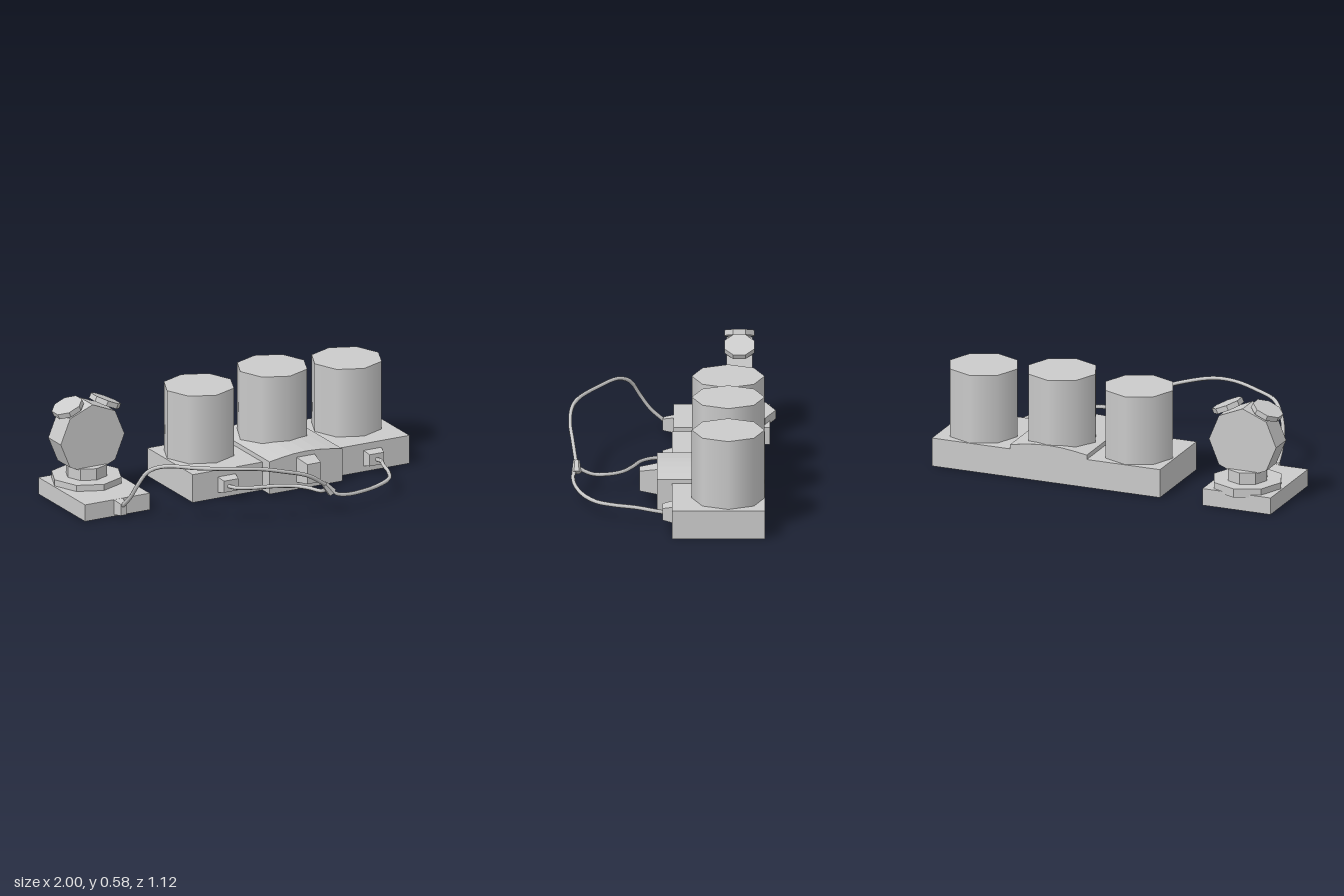
import * as THREE from 'three';

const smooth = new THREE.MeshStandardMaterial({ color: 0xcccccc });
const flat = new THREE.MeshStandardMaterial({ color: 0xcccccc, flatShading: true });
const sheet = new THREE.MeshStandardMaterial({ color: 0xcccccc, flatShading: true, side: THREE.DoubleSide });

function add(parent, name, geometry, material) {
  const mesh = new THREE.Mesh(geometry, material);
  mesh.name = name;
  parent.add(mesh);
  return mesh;
}

// Open skin between two [x, y] outlines, one at each depth
function skin(outlineA, zA, outlineB, zB) {
  const pos = [];
  for (let i = 0; i < outlineA.length - 1; i++) {
    const a = [...outlineA[i], zA], b = [...outlineA[i + 1], zA];
    const c = [...outlineB[i + 1], zB], d = [...outlineB[i], zB];
    pos.push(...a, ...b, ...c, ...a, ...c, ...d);
  }
  const g = new THREE.BufferGeometry();
  g.setAttribute('position', new THREE.Float32BufferAttribute(pos, 3));
  g.computeVertexNormals();
  return g;
}

// Upright wall at depth z, optionally with an opening
function wall(parent, name, outline, z, hole) {
  const toPoints = (o) => o.map(([x, y]) => new THREE.Vector2(x, y));
  const shape = new THREE.Shape(toPoints(outline));
  if (hole) shape.holes.push(new THREE.Path(toPoints(hole)));
  add(parent, name, new THREE.ShapeGeometry(shape), sheet).position.z = z;
}

const rect = (x, y, w, h) => [
  [x - w / 2, y - h / 2], [x + w / 2, y - h / 2], [x + w / 2, y + h / 2], [x - w / 2, y + h / 2],
];

// Hollow tapered socket; returns the opening it needs in the wall behind it
function socket(parent, x, y, w, h, z, depth, taper) {
  const back = rect(x, y, w, h);
  const front = rect(x, y, w - taper, h - taper);
  const close = (r) => [...r, r[0]];
  add(parent, 'socketSides', skin(close(back), z, close(front), z + depth), sheet);
  wall(parent, 'socketFace', front, z + depth);
  return back;
}

function drum(parent, name, x, y0, y1, z, r, material) {
  const m = add(parent, name, new THREE.CylinderGeometry(r, r, y1 - y0, 8), material);
  m.position.set(x, (y0 + y1) / 2, z);
  return m;
}

function cable(parent, name, points) {
  const curve = new THREE.CatmullRomCurve3(points.map((p) => new THREE.Vector3(...p)));
  add(parent, name, new THREE.TubeGeometry(curve, 40, 0.011, 6), smooth);
}

function createTimer() {
  const timer = new THREE.Group();
  timer.name = 'timer';
  const x = -0.795, z = -0.365;

  // Bottomless base
  const outline = [[-1, 0], [-1, 0.095], [-0.6, 0.095], [-0.6, 0]];
  add(timer, 'base', skin(outline, -0.53, outline, -0.01), sheet);
  wall(timer, 'baseBack', outline, -0.53);
  const hole = socket(timer, x, 0.052, 0.055, 0.085, -0.01, 0.06, 0.02);
  wall(timer, 'baseFront', outline, -0.01, hole);

  // Foot, neck and upright dial body
  drum(timer, 'foot', x, 0.08, 0.13, z, 0.197, flat);
  drum(timer, 'neck', x, 0.12, 0.195, z, 0.115, flat);
  drum(timer, 'dialBody', x, 0.28, 0.42, z, 0.197, flat).rotation.x = Math.PI / 2;

  // Two tilted bells
  for (const side of [-1, 1]) {
    const bell = new THREE.CylinderGeometry(0.088, 0.088, 0.03, 8).rotateY(Math.PI / 8);
    const m = add(timer, 'bell', bell, flat);
    m.position.set(x + side * 0.115, 0.53, z);
    m.rotation.z = -side * 0.41;
  }
  return timer;
}

function createBank() {
  const bank = new THREE.Group();
  bank.name = 'canisterBank';
  const back = -0.505, L = 0.09, R = 0.54, top = 0.16;

  // Outer bays, open below and towards the middle bay
  for (const [x0, x1, plugX] of [[-0.34, L, -0.13], [1, R, 0.77]]) {
    const shell = [[x0, 0], [x0, top], [x1, top]];
    const face = [...shell, [x1, 0]];
    add(bank, 'sideBay', skin(shell, back, shell, 0), sheet);
    wall(bank, 'sideBayBack', face, back);
    const hole = socket(bank, plugX, 0.077, 0.11, 0.088, 0, 0.05, 0.022);
    wall(bank, 'sideBayFront', face, 0, hole);
  }

  // Middle bay with a slightly arched roof that juts forward
  const arch = [];
  for (let i = 0; i <= 6; i++) {
    const t = i / 6;
    arch.push([L + (R - L) * t, 0.185 + 0.025 * Math.sin(Math.PI * t)]);
  }
  const roof = [[L, top], ...arch, [R, top]];
  const full = [[L, 0], ...arch, [R, 0]];
  add(bank, 'middleRoof', skin(roof, back, roof, 0), sheet);
  add(bank, 'middleNose', skin(full, 0, full, 0.08), sheet);
  wall(bank, 'middleBack', full, back);
  const hole = socket(bank, 0.313, 0.112, 0.112, 0.142, 0.08, 0.095, 0.03);
  wall(bank, 'middleFront', full, 0.08, hole);

  // Canisters
  for (const [x, y0, y1] of [[-0.133, 0.15, 0.547], [0.32, 0.175, 0.58], [0.78, 0.15, 0.547]]) {
    drum(bank, 'canister', x, y0, y1, -0.305, 0.197, smooth);
  }
  return bank;
}

function createWiring() {
  const wiring = new THREE.Group();
  wiring.name = 'wiring';
  cable(wiring, 'timerCable', [
    [-0.797, 0.07, 0.04], [-0.79, 0.14, 0.115], [-0.775, 0.23, 0.175], [-0.74, 0.31, 0.22],
    [-0.68, 0.35, 0.285], [-0.52, 0.35, 0.41], [-0.35, 0.347, 0.505], [-0.22, 0.335, 0.54],
    [-0.08, 0.3, 0.55], [0.08, 0.245, 0.535], [0.215, 0.155, 0.515],
  ]);
  cable(wiring, 'leftCable', [
    [-0.145, 0.075, 0.04], [-0.13, 0.08, 0.1], [-0.06, 0.088, 0.165], [0.05, 0.093, 0.212],
    [0.14, 0.095, 0.265], [0.19, 0.097, 0.335], [0.213, 0.105, 0.43], [0.215, 0.145, 0.515],
  ]);
  cable(wiring, 'rightCable', [
    [0.21, 0.15, 0.515], [0.25, 0.115, 0.532], [0.32, 0.098, 0.53], [0.43, 0.093, 0.51],
    [0.55, 0.092, 0.468], [0.65, 0.092, 0.4], [0.7, 0.092, 0.31], [0.735, 0.09, 0.19],
    [0.765, 0.085, 0.11], [0.772, 0.075, 0.04],
  ]);

  // Knot where the cables meet
  const knot = add(wiring, 'cableKnot', new THREE.CylinderGeometry(0.018, 0.027, 0.07, 6), flat);
  knot.position.set(0.212, 0.147, 0.515);
  knot.rotation.z = 0.7;
  return wiring;
}

export function createModel() {
  const model = new THREE.Group();
  model.name = 'timerWithCanisters';
  model.add(createTimer(), createBank(), createWiring());
  return model;
}
